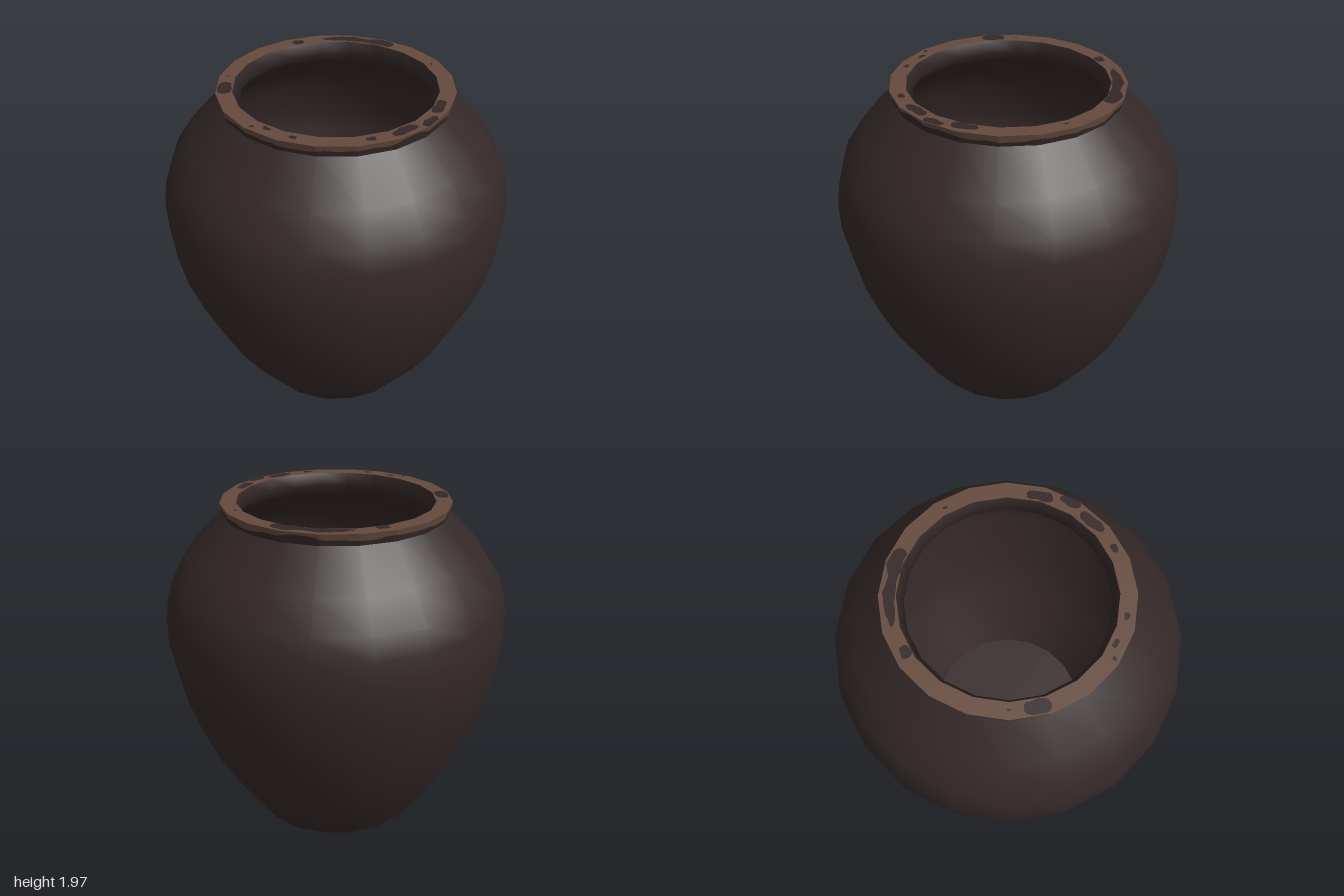
import * as THREE from 'three';

const SIDES = 20;
const clay = new THREE.MeshStandardMaterial({ color: 0x332827 });
clay.name = 'dark glaze';
const bare = new THREE.MeshStandardMaterial({ color: 0x664a3d });
bare.name = 'bare brown clay';

// Shrinks a circle's radius to the edge of the 20-sided outline
function facet(a) {
  const step = (Math.PI * 2) / SIDES;
  const off = a - Math.round(a / step - 0.5) * step - step / 2;
  return Math.cos(step / 2) / Math.cos(off);
}

// Smooth irregular wobble, about -1 to 1, repeating every turn
const wobble = (a, k = 0) =>
  0.45 * Math.sin(7 * a + k) + 0.35 * Math.sin(17 * a + 2 * k + 1) + 0.2 * Math.sin(31 * a + 3 * k);

// Turned surface from [radius, height] points
function turned(name, points, material) {
  const g = new THREE.LatheGeometry(points.map(([r, y]) => new THREE.Vector2(r, y)), SIDES);
  const m = new THREE.Mesh(g, material);
  m.name = name;
  return m;
}

// Strip round the axis between two edges, each a function of angle giving [radius, height]
function strip(name, edgeA, edgeB, material, from = 0, to = Math.PI * 2, steps = 240) {
  const pos = [], idx = [];
  for (let i = 0; i <= steps; i++) {
    const a = from + ((to - from) * i) / steps;
    for (const edge of [edgeA, edgeB]) {
      const [r, y] = edge(a);
      const q = r * facet(a);
      pos.push(q * Math.sin(a), y, q * Math.cos(a));
    }
    if (i < steps) {
      const k = i * 2;
      idx.push(k, k + 2, k + 1, k + 3, k + 1, k + 2);
    }
  }
  const g = new THREE.BufferGeometry();
  g.setAttribute('position', new THREE.Float32BufferAttribute(pos, 3));
  g.setIndex(idx);
  g.computeVertexNormals();
  const m = new THREE.Mesh(g, material);
  m.name = name;
  return m;
}

export function createModel() {
  const pot = new THREE.Group();
  pot.name = 'pot';

  // Outer wall from foot to shoulder
  pot.add(turned('outerWall', [
    [0.54, 0.015], [0.67, 0.22], [0.8, 0.46], [0.89, 0.69], [0.96, 0.91], [1.0, 1.14],
    [1.0, 1.3], [0.98, 1.43], [0.94, 1.55], [0.83, 1.71], [0.635, 1.905],
  ], clay));

  // Inner wall and floor
  pot.add(turned('innerWall', [
    [0.56, 1.97], [0.53, 1.9], [0.6, 1.83], [0.79, 1.67], [0.89, 1.52], [0.95, 1.3],
    [0.95, 1.14], [0.84, 0.69], [0.75, 0.46], [0.52, 0.06],
  ], clay));
  pot.add(turned('floor', [[0.53, 0.06], [0, 0.06]], clay));

  // Underside: bare disc with a ragged glazed margin
  const footEdge = (a) => {
    const r = 0.524 + 0.012 * wobble(a, 2);
    return [r, 0.015 * (r / 0.54)];
  };
  pot.add(strip('underside', () => [0, 0], footEdge, bare));
  pot.add(strip('footMargin', footEdge, () => [0.54, 0.015], clay));

  // Lip side: worn brown above, glaze below, with a ragged border
  const lipAt = (y) => [0.635 + ((y - 1.905) / 0.065) * 0.015, y];
  const worn = (a) => {
    const glaze = Math.exp(-(((a - 0.78) / 0.22) ** 2)) + 0.6 * Math.exp(-(((a - 3.0) / 0.25) ** 2));
    return lipAt(Math.min(1.965, 1.934 + 0.01 * wobble(a) + 0.025 * glaze));
  };
  pot.add(strip('lipGlaze', () => lipAt(1.905), worn, clay));
  pot.add(strip('lipWorn', worn, () => lipAt(1.97), bare));

  // Flat top of the rim
  pot.add(strip('rimTop', () => [0.65, 1.97], () => [0.56, 1.97], bare));

  // Glaze left on the rim: [direction from +x toward +z, width in degrees, inner, outer radius]
  const patches = [
    [-86, 42, 0.57, 0.625], [-72, 16, 0.56, 0.64], [-121, 7, 0.56, 0.62], [167, 13, 0.565, 0.645],
    [17, 14, 0.565, 0.625], [32, 11, 0.605, 0.65], [47, 15, 0.575, 0.635], [65, 5, 0.59, 0.62],
    [102, 4, 0.59, 0.62], [117, 5, 0.575, 0.61], [124, 2, 0.61, 0.63], [-33, 2.5, 0.59, 0.61],
    [180, 2, 0.59, 0.61],
  ];
  patches.forEach(([dir, width, r0, r1], k) => {
    const mid = THREE.MathUtils.degToRad(90 - dir);
    const half = THREE.MathUtils.degToRad(width / 2);
    const edge = (side) => (a) => {
      const t = (a - mid) / half;
      const swell = Math.sqrt(Math.max(0, 1 - t ** 4));
      const r = (r0 + r1) / 2 + side * ((r1 - r0) / 2) * swell + 0.008 * swell * wobble(a * 2, k + side);
      return [THREE.MathUtils.clamp(r, 0.56, 0.65), 1.973];
    };
    pot.add(strip('rimPatch', edge(1), edge(-1), clay, mid - half, mid + half, 24));
  });

  return pot;
}
